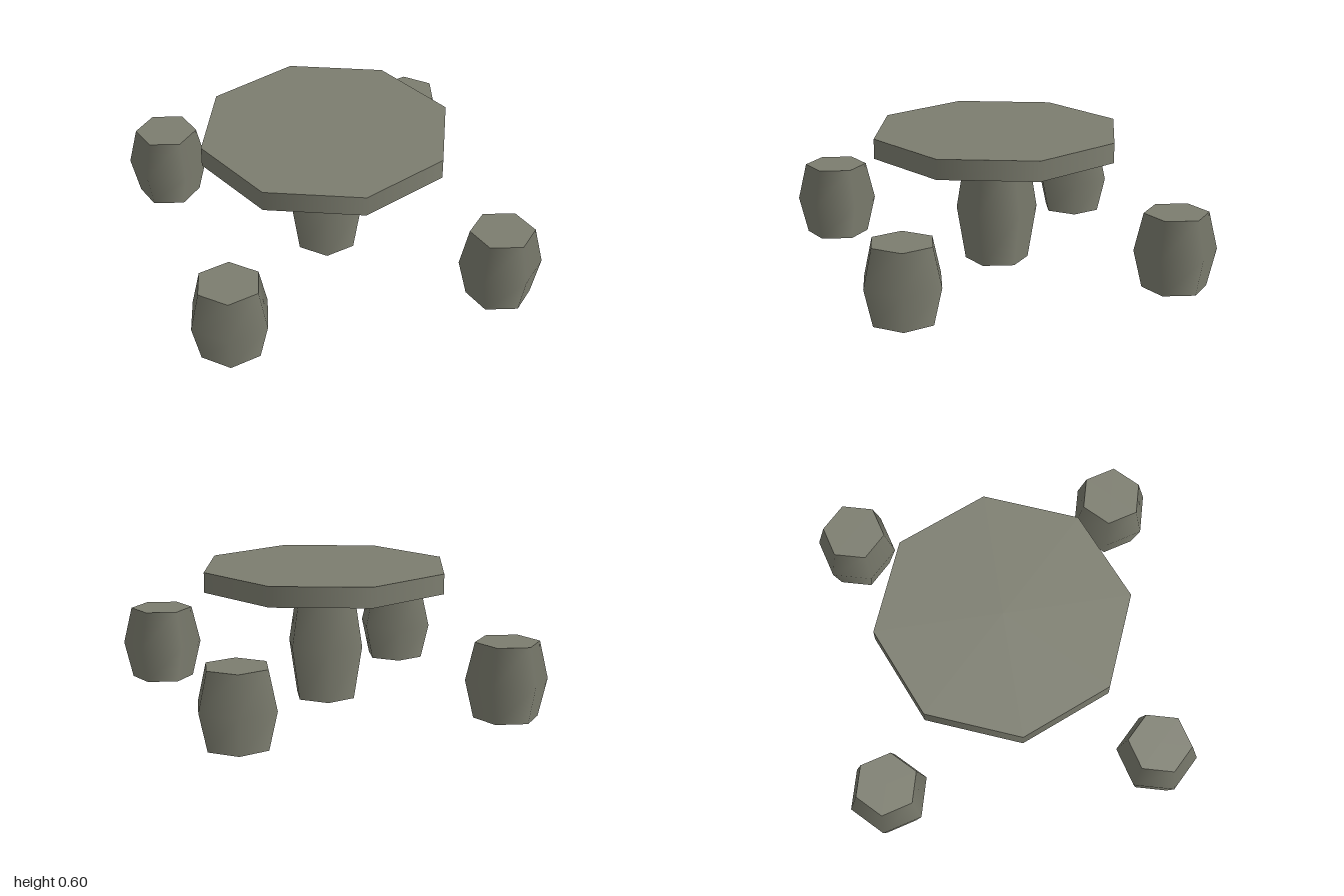
import * as THREE from 'three';
import { mergeGeometries } from 'three/addons/utils/BufferGeometryUtils.js';

const END_RADIUS = 0.14;
const MID_RADIUS = 0.179;

// Smooth-sided prism standing on y = 0, with a flat top and an open underside
function openPrism(radius, height, sides, thetaStart, rows) {
  const wall = new THREE.CylinderGeometry(radius, radius, height, sides, rows, true, thetaStart);
  wall.translate(0, height / 2, 0);
  const top = new THREE.CircleGeometry(radius, sides);
  top.rotateX(-Math.PI / 2).translate(0, height, 0);
  return mergeGeometries([wall, top]);
}

// Six-sided barrel: a prism whose middle ring is pushed outwards
function barrelGeometry(height) {
  const geometry = openPrism(END_RADIUS, height, 6, Math.PI / 6, 2);
  const position = geometry.attributes.position;
  const bulge = MID_RADIUS / END_RADIUS;
  for (let i = 0; i < position.count; i++) {
    if (Math.abs(position.getY(i) - height / 2) < 0.01) {
      position.setX(i, position.getX(i) * bulge);
      position.setZ(i, position.getZ(i) * bulge);
    }
  }
  return geometry;
}

export function createModel() {
  const model = new THREE.Group();
  model.name = 'stoneTableSet';

  const stone = new THREE.MeshStandardMaterial({ color: 0x7c7d6f, side: THREE.DoubleSide });
  stone.name = 'grey stone';

  const add = (name, geometry) => {
    const mesh = new THREE.Mesh(geometry, stone);
    mesh.name = name;
    model.add(mesh);
    return mesh;
  };

  // Octagonal top with corners on the axes, hollow below, just above the pedestal
  add('tableTop', openPrism(0.557, 0.088, 8, 0, 1)).position.y = 0.509;

  // Tall barrel under the middle of the table
  add('pedestal', barrelGeometry(0.48));

  // Four stools, each with a flat side towards the table
  const stoolGeometry = barrelGeometry(0.33);
  ['frontStool', 'leftStool', 'backStool', 'rightStool'].forEach((name, i) => {
    const angle = (i * Math.PI) / 2;
    const stool = add(name, stoolGeometry);
    stool.position.set(Math.sin(angle) * 0.845, 0, Math.cos(angle) * 0.845);
    stool.rotation.y = angle;
  });

  return model;
}
